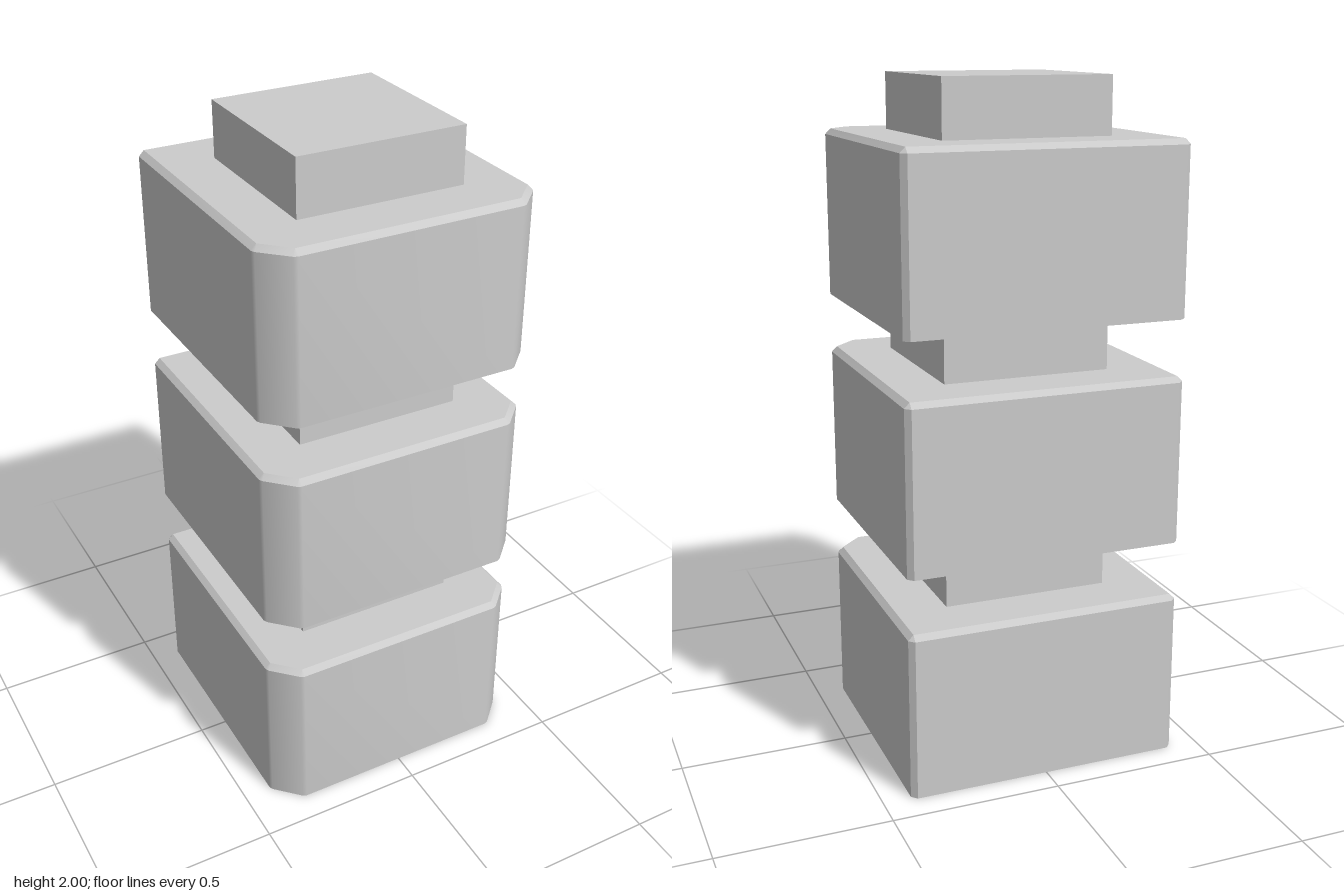
import * as THREE from 'three';
import { ConvexGeometry } from 'three/addons/geometries/ConvexGeometry.js';
import { toCreasedNormals } from 'three/addons/utils/BufferGeometryUtils.js';

const PITCH = 2 / 3, BLOCK_H = 0.5, BEVEL = 0.016;
const NECK_W = 0.5, NECK_H = PITCH - BLOCK_H;

// Right half of the top face outline: [x, z], front corner cut, back corner square
const OUTLINE = [[0, 0.4], [0.33, 0.4], [0.4, 0.33], [0.4, -0.4], [0, -0.4]];

// Block with a bevelled top rim and bevelled vertical corners
function blockGeometry() {
  const points = [];
  const add = (x, y, z) => points.push(new THREE.Vector3(x, y, z), new THREE.Vector3(-x, y, z));
  for (let i = 1; i < OUTLINE.length - 1; i++) {
    const [x, z] = OUTLINE[i];
    add(x, BLOCK_H, z);
    // each corner splits into two, pushed out along its neighbouring sides
    for (const [a, b] of [[OUTLINE[i - 1], OUTLINE[i]], [OUTLINE[i], OUTLINE[i + 1]]]) {
      const dx = b[0] - a[0], dz = b[1] - a[1], len = Math.hypot(dx, dz);
      const ox = x - (dz / len) * BEVEL, oz = z + (dx / len) * BEVEL;
      add(ox, BLOCK_H - BEVEL, oz);
      add(ox, 0, oz);
    }
  }
  return toCreasedNormals(new ConvexGeometry(points), Math.PI / 6);
}

export function createModel() {
  const model = new THREE.Group();
  model.name = 'stackedBlocks';
  const material = new THREE.MeshStandardMaterial({ color: 0xcccccc });
  const block = blockGeometry();
  const neck = new THREE.BoxGeometry(NECK_W, NECK_H, NECK_W);

  // Three blocks, each topped by a square neck
  for (let i = 0; i < 3; i++) {
    const blockMesh = new THREE.Mesh(block, material);
    blockMesh.name = `block${i + 1}`;
    blockMesh.position.y = i * PITCH;

    const neckMesh = new THREE.Mesh(neck, material);
    neckMesh.name = `neck${i + 1}`;
    neckMesh.position.y = i * PITCH + BLOCK_H + NECK_H / 2;

    model.add(blockMesh, neckMesh);
  }
  return model;
}
